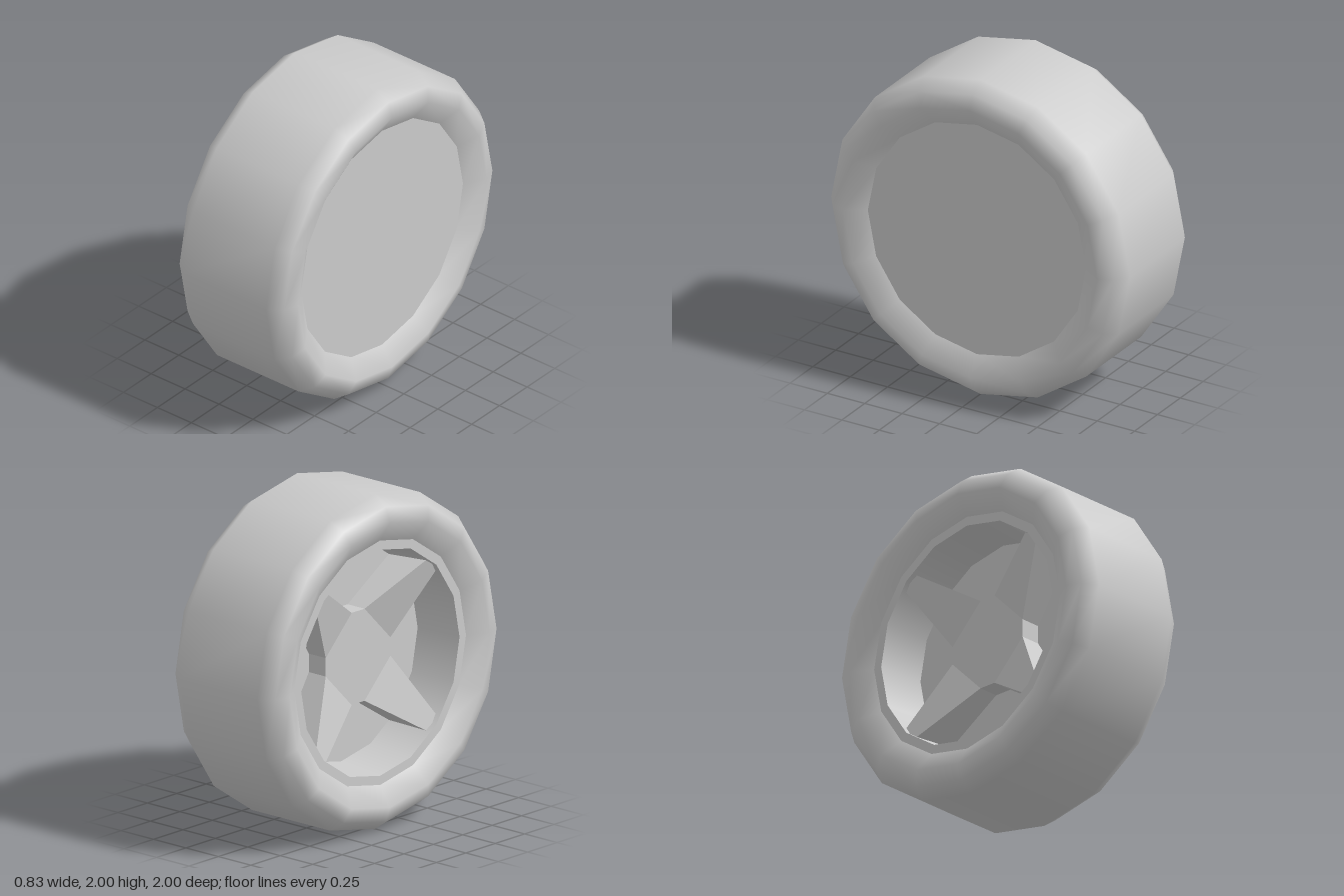
import * as THREE from 'three';

const SIDES = 16;
const grey = new THREE.MeshStandardMaterial({ color: 0xcccccc });

function part(name, geometry) {
  const mesh = new THREE.Mesh(geometry, grey);
  mesh.name = name;
  return mesh;
}

// Lathe around the x axle; profile points are [x, radius].
function axleLathe(profile) {
  const points = profile.map(([x, r]) => new THREE.Vector2(r, x));
  return new THREE.LatheGeometry(points, SIDES).rotateZ(-Math.PI / 2);
}

// Four tapering spokes that slope outward from a recessed hub.
function spokeGeometry() {
  const hubX = -0.17, tipX = -0.31, floorX = -0.04;
  const pos = [];
  const tri = (...pts) => pts.forEach((p) => pos.push(...p));
  // Corners run counter-clockwise as seen from the visible side.
  const quad = (a, b, c, d) => { tri(a, b, c); tri(a, c, d); };
  const centre = [hubX, 0, 0];
  const back = (p) => [floorX, p[1], p[2]];
  for (let i = 0; i < 4; i++) {
    const angle = (i * Math.PI) / 2;
    const at = (x, z, y) => [
      x,
      z * Math.sin(angle) + y * Math.cos(angle),
      z * Math.cos(angle) - y * Math.sin(angle),
    ];
    const baseA = at(hubX, 0.275, 0.055), baseB = at(hubX, 0.055, 0.275);
    const tipA = at(tipX, 0.515, 0.437), tipB = at(tipX, 0.437, 0.515);
    const notch = at(hubX, 0.275, -0.055);
    // hub face and spoke face
    tri(centre, baseA, baseB);
    tri(centre, notch, baseA);
    quad(baseA, tipA, tipB, baseB);
    // walls down to the dish floor
    const outline = [notch, baseA, tipA, tipB, baseB];
    for (let k = 0; k < outline.length - 1; k++) {
      const p = outline[k], q = outline[k + 1];
      quad(q, p, back(p), back(q));
    }
  }
  const geometry = new THREE.BufferGeometry();
  geometry.setAttribute('position', new THREE.Float32BufferAttribute(pos, 3));
  geometry.computeVertexNormals();
  return geometry;
}

export function createModel() {
  const group = new THREE.Group();
  group.name = 'wheel';
  const wheel = new THREE.Group();
  wheel.name = 'wheelAssembly';
  wheel.position.y = 1;
  group.add(wheel);

  // Tyre with rounded shoulders and inward sloping lips
  wheel.add(part('tyre', axleLathe([
    [-0.34, 0.73], [-0.415, 0.85], [-0.385, 0.94], [-0.3, 1],
    [0.3, 1], [0.385, 0.94], [0.415, 0.85], [0.34, 0.73],
  ])));

  // Closed inner side
  wheel.add(part('innerCap',
    new THREE.CircleGeometry(0.73, SIDES).rotateY(Math.PI / 2).translate(0.34, 0, 0)));

  // Outer rim: flat edge, barrel and floor
  wheel.add(part('rimEdge',
    new THREE.RingGeometry(0.675, 0.73, SIDES).rotateY(-Math.PI / 2).translate(-0.34, 0, 0)));
  wheel.add(part('rimBarrel', axleLathe([[-0.04, 0.65], [-0.34, 0.675]])));
  wheel.add(part('rimFloor',
    new THREE.CircleGeometry(0.65, SIDES).rotateY(-Math.PI / 2).translate(-0.04, 0, 0)));

  wheel.add(part('spokes', spokeGeometry()));
  return group;
}
